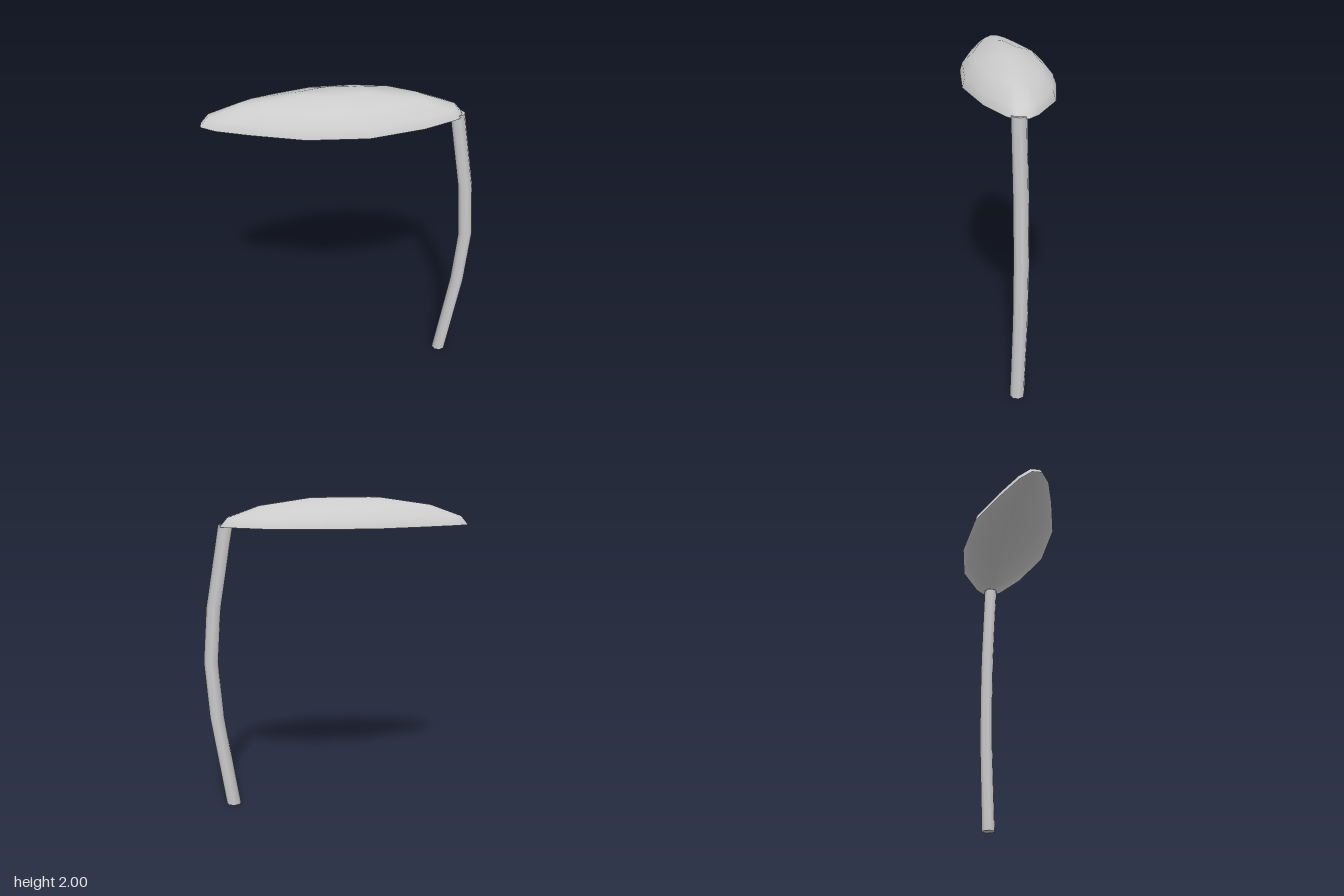
import * as THREE from 'three';

const RIM_Y = 1.825;

// Leaf-shaped rim as [x, z], running from the far tip along the back to the front
const RIM = [
  [-0.77, -0.335], [-0.74, -0.39], [-0.635, -0.405], [-0.41, -0.39],
  [-0.09, -0.35], [0.24, -0.21], [0.5, -0.02], [0.645, 0.2],
  [0.67, 0.28], [0.64, 0.34], [0.575, 0.365], [0.34, 0.365],
  [0, 0.3], [-0.32, 0.13], [-0.56, -0.085], [-0.715, -0.24],
];
const CENTER = [-0.05, -0.025];

// Dome rings as [scale of the rim, height above the rim]
const RINGS = [[1, 0], [0.94, 0.056], [0.69, 0.127], [0.27, 0.175]];

// Open shell: shrinking copies of the rim, closed by a fan at the top
function canopyGeometry() {
  const pos = [], index = [], n = RIM.length;
  for (const [s, h] of RINGS) {
    for (const [x, z] of RIM) {
      pos.push(CENTER[0] + (x - CENTER[0]) * s, RIM_Y + h, CENTER[1] + (z - CENTER[1]) * s);
    }
  }
  const apex = pos.length / 3;
  pos.push(CENTER[0], 2, CENTER[1]);
  for (let r = 0; r < RINGS.length; r++) {
    for (let j = 0; j < n; j++) {
      const a = r * n + j, b = r * n + (j + 1) % n;
      if (r === RINGS.length - 1) index.push(a, apex, b);
      else index.push(a, a + n, b, b, a + n, b + n);
    }
  }
  const g = new THREE.BufferGeometry();
  g.setAttribute('position', new THREE.Float32BufferAttribute(pos, 3));
  g.setIndex(index);
  g.computeVertexNormals();
  return g;
}

// Bowed pole: each level of a cylinder slides to its place on the bend
function poleGeometry() {
  const path = [
    [0.613, 0, 0.307], [0.698, 0.6, 0.345], [0.722, 0.97, 0.358],
    [0.698, 1.32, 0.345], [0.617, 1.837, 0.309],
  ];
  const g = new THREE.CylinderGeometry(0.046, 0.046, 4, 8, 4, false, Math.PI / 8);
  const p = g.attributes.position;
  for (let i = 0; i < p.count; i++) {
    const [x, y, z] = path[Math.round(p.getY(i) + 2)];
    p.setXYZ(i, p.getX(i) + x, y, p.getZ(i) + z);
  }
  return g;
}

export function createModel() {
  const model = new THREE.Group();
  model.name = 'canopyOnPole';

  const canopy = new THREE.Mesh(
    canopyGeometry(),
    new THREE.MeshStandardMaterial({ color: 0xcccccc, side: THREE.DoubleSide }),
  );
  canopy.name = 'canopy';

  const pole = new THREE.Mesh(
    poleGeometry(),
    new THREE.MeshStandardMaterial({ color: 0xcccccc }),
  );
  pole.name = 'pole';

  model.add(canopy, pole);
  return model;
}
